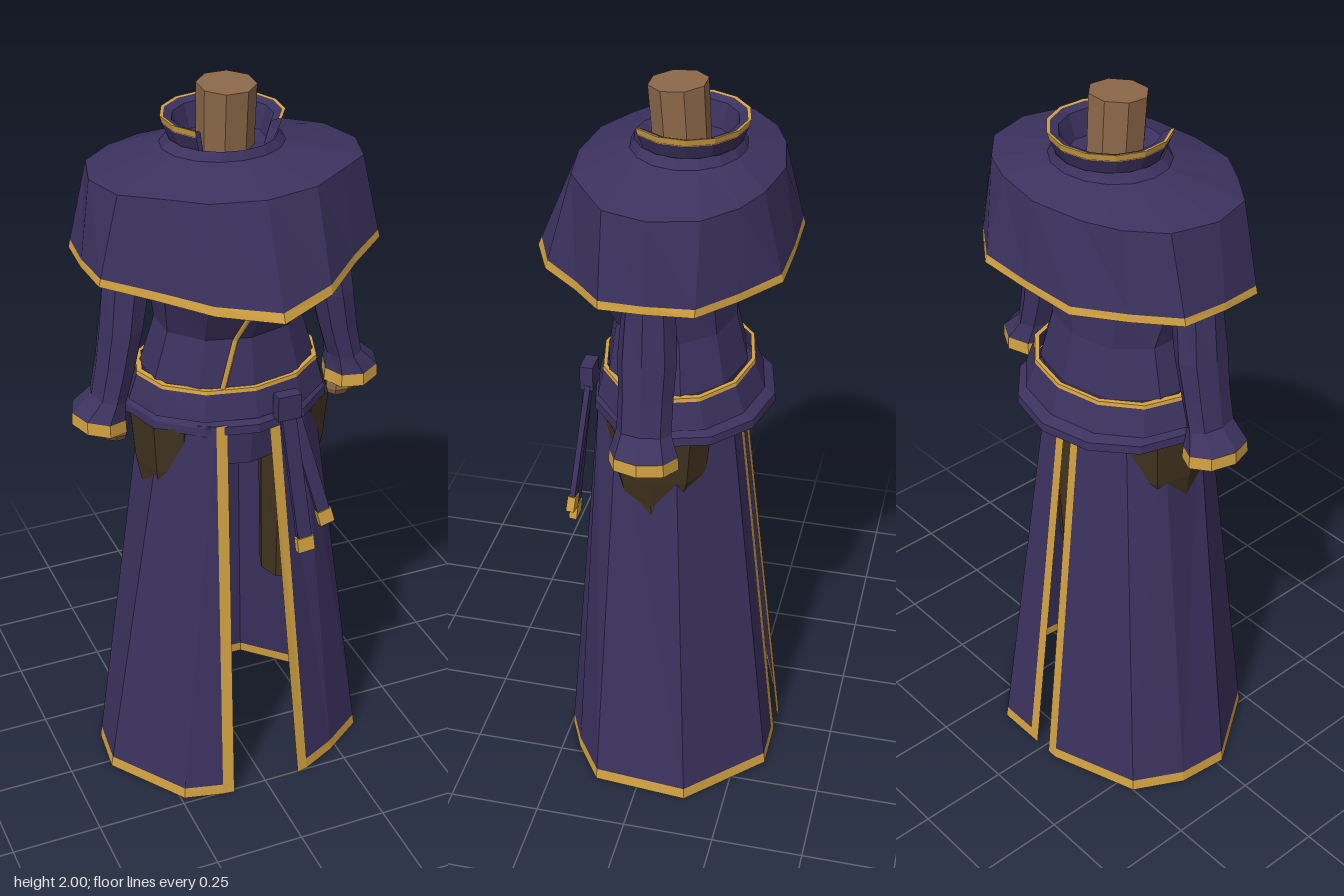
import * as THREE from 'three';

const mat = (name, color) => new THREE.MeshStandardMaterial({ name, color, side: THREE.DoubleSide });

export function createModel() {
  const purple = mat('purple cloth', 0x3c325f);
  const gold = mat('gold trim', 0xd2a242);
  const skin = mat('brown skin', 0x8c6849);
  const brown = mat('dark brown leather', 0x42331f);
  const root = new THREE.Group();
  root.name = 'hoodlessRobe';

  const add = (name, geo, material, parent = root) => {
    const m = new THREE.Mesh(geo, material);
    m.name = name;
    parent.add(m);
    return m;
  };

  // Flat-shaded skin over rows of [x, y, z] points
  const loft = (name, rows, material, closed = true, parent = root) => {
    const p = [];
    for (let r = 0; r < rows.length - 1; r++) {
      const a = rows[r], b = rows[r + 1], n = a.length;
      for (let i = 0; i < (closed ? n : n - 1); i++) {
        const j = (i + 1) % n;
        p.push(...a[i], ...b[i], ...b[j], ...a[i], ...b[j], ...a[j]);
      }
    }
    const g = new THREE.BufferGeometry();
    g.setAttribute('position', new THREE.Float32BufferAttribute(p, 3));
    g.computeVertexNormals();
    return add(name, g, material, parent);
  };

  // Elliptical ring, starting at the front; slope tips it sideways
  const ring = (n, y, cx, cz, rx, rz, slope = 0, from = 0, to = Math.PI * 2, open = false) =>
    Array.from({ length: open ? n + 1 : n }, (_, i) => {
      const a = from + (to - from) * i / n, x = rx * Math.sin(a);
      return [cx + x, y + slope * x, cz + rz * Math.cos(a)];
    });
  const lerpRow = (a, b, t) => a.map((p, i) => p.map((v, k) => v + (b[i][k] - v) * t));

  // Neck stump, leaning slightly forward
  const neck = add('neck', new THREE.CylinderGeometry(0.075, 0.072, 0.22, 8).toNonIndexed(), skin);
  neck.geometry.rotateY(Math.PI / 8);
  neck.geometry.computeVertexNormals();
  neck.position.set(0, 1.887, -0.04);
  neck.rotation.x = 0.07;

  // Shoulder cape, half outline from front to back then mirrored
  const mirror = half => [...half, ...half.slice(1, -1).reverse().map(([x, y, z]) => [-x, y, z])];
  const hem = mirror([[0, 1.515, 0.335], [0.155, 1.535, 0.27], [0.27, 1.55, 0.16], [0.38, 1.568, 0.075],
    [0.388, 1.573, -0.04], [0.38, 1.575, -0.16], [0.28, 1.575, -0.245], [0.16, 1.575, -0.33], [0, 1.575, -0.333]]);
  const shoulder = mirror([[0, 1.79, 0.22], [0.14, 1.795, 0.2], [0.235, 1.8, 0.14], [0.325, 1.8, 0.075],
    [0.358, 1.8, -0.04], [0.325, 1.8, -0.16], [0.24, 1.8, -0.235], [0.145, 1.8, -0.275], [0, 1.8, -0.3]]);
  const trimRow = lerpRow(hem, shoulder, 0.09);
  const capeNeck = ring(16, 1.84, 0, -0.06, 0.16, 0.145);
  loft('shoulderCape', [capeNeck, shoulder, trimRow], purple);
  loft('capeTrim', [trimRow, hem], gold);
  loft('neckline', [capeNeck, ring(16, 1.862, 0, -0.06, 0.14, 0.135), ring(16, 1.845, 0, -0.06, 0.12, 0.115),
    ring(16, 1.83, 0, -0.05, 0.06, 0.06)], purple);

  // Standing collar, open at the front
  const arc = (y, r) => ring(10, y, 0, -0.06, r, r - 0.005, 0, 0.8, Math.PI * 2 - 0.8, true);
  loft('collar', [arc(1.84, 0.128), arc(1.9, 0.153)], purple, false);
  loft('collarInside', [arc(1.905, 0.128), arc(1.84, 0.11)], purple, false);
  loft('collarTrim', [arc(1.897, 0.152), arc(1.916, 0.157), arc(1.914, 0.149)], gold, false);
  loft('collarRim', [arc(1.914, 0.149), arc(1.905, 0.128)], purple, false);

  // Torso down to the hips
  loft('torso', [ring(10, 1.8, 0, -0.04, 0.2, 0.14), ring(10, 1.53, 0, 0.015, 0.225, 0.205),
    ring(10, 1.38, 0, -0.03, 0.195, 0.16), ring(10, 1.25, 0, -0.035, 0.235, 0.185),
    ring(10, 1.14, 0, -0.025, 0.2, 0.165), ring(10, 1.01, 0, -0.02, 0.19, 0.15),
    ring(10, 1.01, 0, -0.02, 0.001, 0.001)], purple);

  // Diagonal piping across the chest
  const path = new THREE.CurvePath();
  const pts = [[-0.015, 1.53, 0.222], [-0.042, 1.38, 0.126], [-0.08, 1.25, 0.134]].map(p => new THREE.Vector3(...p));
  path.add(new THREE.LineCurve3(pts[0], pts[1]));
  path.add(new THREE.LineCurve3(pts[1], pts[2]));
  add('chestPiping', new THREE.TubeGeometry(path, 12, 0.009, 4), gold);

  // Waistband and flared peplum in two layers
  loft('waistTrim', [ring(12, 1.253, 0, -0.04, 0.235, 0.19), ring(12, 1.252, 0, -0.04, 0.25, 0.2),
    ring(12, 1.242, 0, -0.04, 0.252, 0.202)], gold);
  loft('waistband', [ring(12, 1.242, 0, -0.04, 0.25, 0.2), ring(12, 1.17, 0, -0.045, 0.272, 0.222)], purple);
  loft('peplum', [ring(12, 1.18, 0, -0.045, 0.255, 0.2), ring(12, 1.155, 0, -0.055, 0.278, 0.24),
    ring(12, 1.132, 0, -0.055, 0.28, 0.242), ring(12, 1.15, 0, -0.03, 0.21, 0.17)], purple);

  // Skirt panels: first and last columns are trim, as is the hem; columns are [hemX, hemZ, topX, topZ]
  const panel = (name, cols) => {
    const g = new THREE.Group();
    g.name = name;
    root.add(g);
    const at = t => cols.map(([x, z, u, w]) => [x + (u - x) * t, 0.005 + 1.155 * t, z + (w - z) * t]);
    const rows = [at(1), at(0.028)], n = cols.length;
    const cut = (a, b) => rows.map(r => r.slice(a, b));
    loft('skirtCloth', cut(1, n - 1), purple, false, g);
    loft('frontSlitTrim', cut(0, 2), gold, false, g);
    loft('backSlitTrim', cut(n - 2, n), gold, false, g);
    loft('skirtHem', [at(0.028), at(0)], gold, false, g);
  };
  panel('leftSkirt', [[0.1, 0.255, 0.035, 0.165], [0.132, 0.247, 0.065, 0.162], [0.23, 0.2, 0.14, 0.145],
    [0.345, 0.12, 0.2, 0.08], [0.366, -0.14, 0.225, -0.08], [0.17, -0.335, 0.1, -0.2],
    [0.056, -0.335, 0.04, -0.205], [0.025, -0.335, 0.012, -0.205]]);
  panel('rightSkirt', [[-0.1, 0.26, -0.08, 0.165], [-0.133, 0.256, -0.11, 0.162], [-0.24, 0.23, -0.15, 0.14],
    [-0.385, 0.02, -0.215, 0.05], [-0.37, -0.12, -0.225, -0.08], [-0.3, -0.25, -0.17, -0.16],
    [-0.056, -0.335, -0.04, -0.205], [-0.025, -0.335, -0.012, -0.205]]);

  // Sleeves, cuffs, hands and thighs on both sides
  for (const s of [1, -1]) {
    const g = new THREE.Group();
    g.name = s > 0 ? 'leftLimbs' : 'rightLimbs';
    root.add(g);
    const r = (y, cx, cz, rx, rz, slope = 0) => ring(8, y, s * cx, cz, rx, rz, s * slope);
    const cuffTop = r(1.162, 0.36, -0.03, 0.073, 0.088, 0.15);
    const cuffLow = r(1.127, 0.36, -0.03, 0.075, 0.09, 0.15);
    loft('sleeve', [r(1.75, 0.24, -0.05, 0.08, 0.08), r(1.55, 0.272, -0.025, 0.065, 0.065),
      r(1.4, 0.295, -0.025, 0.057, 0.075), r(1.3, 0.313, -0.025, 0.052, 0.07),
      r(1.21, 0.335, -0.025, 0.045, 0.07, 0.2), cuffTop], purple, true, g);
    loft('cuffTrim', [cuffTop, cuffLow], gold, true, g);
    loft('cuffInside', [cuffLow, r(1.15, 0.345, -0.025, 0.04, 0.045, 0.15)], purple, true, g);
    loft('hand', [r(1.17, 0.345, -0.025, 0.046, 0.045), r(1.105, 0.333, -0.02, 0.046, 0.045, 0.2),
      r(1.085, 0.328, -0.02, 0.034, 0.032, 0.2), r(1.083, 0.328, -0.02, 0.001, 0.001)], skin, true, g);
    loft('thigh', [r(1.14, 0.18, -0.025, 0.096, 0.14), r(1.0, 0.178, -0.025, 0.086, 0.125),
      r(0.92, 0.172, -0.02, 0.076, 0.1), r(0.55, 0.165, -0.02, 0.065, 0.08),
      r(0.55, 0.165, -0.02, 0.001, 0.001)], brown, true, g);
  }

  // Sash knot with two hanging, gold-tipped tails
  const knot = add('sashKnot', new THREE.BoxGeometry(0.065, 0.07, 0.035), purple);
  knot.position.set(0.078, 1.195, 0.185);
  const strip = (name, a, b, w, d, material) => {
    const A = new THREE.Vector3(...a), B = new THREE.Vector3(...b);
    const m = add(name, new THREE.BoxGeometry(w, A.distanceTo(B), d), material);
    m.position.copy(A).add(B).multiplyScalar(0.5);
    m.quaternion.setFromUnitVectors(new THREE.Vector3(0, 1, 0), A.sub(B).normalize());
  };
  strip('longTail', [0.078, 1.17, 0.188], [0.117, 0.8, 0.221], 0.04, 0.015, purple);
  strip('longTailTip', [0.117, 0.802, 0.221], [0.12, 0.76, 0.225], 0.048, 0.022, gold);
  strip('shortTail', [0.095, 1.17, 0.182], [0.175, 0.865, 0.21], 0.036, 0.015, purple);
  strip('shortTailTip', [0.175, 0.867, 0.21], [0.185, 0.826, 0.214], 0.042, 0.022, gold);

  return root;
}
